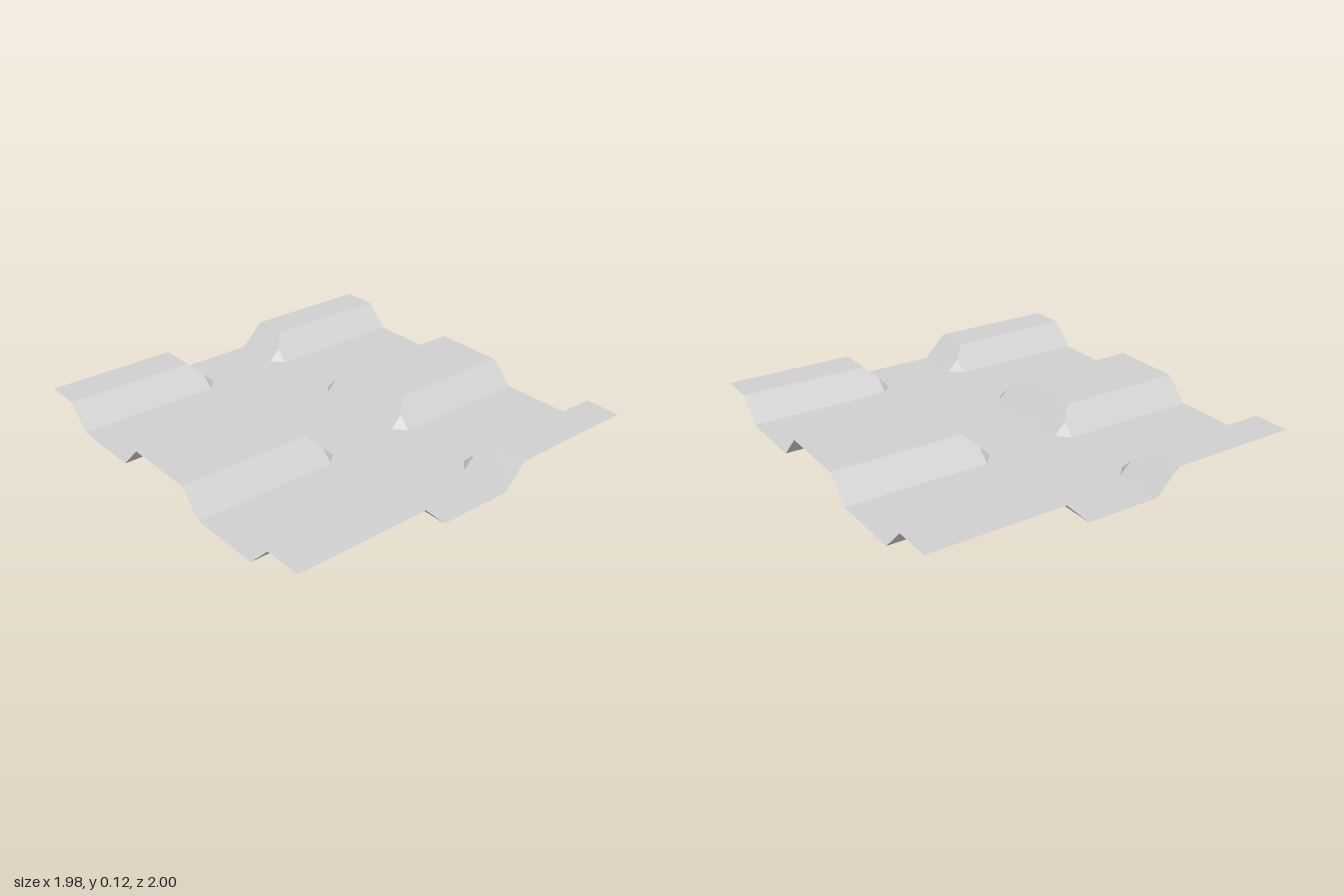
import * as THREE from 'three';

const H = 0.12; // ridge height

// One eighth of the panel as flat polygons [x, y, z], counter-clockwise from above.
const TILE = {
  floor: [[0, 0, 0.5], [0.99, 0, 0.5], [0.99, 0, 0.31], [0.25, 0, 0.31], [0.19, 0, 0.25], [0.19, 0, 0], [0, 0, 0]],
  ridgeTop: [[0.31, H, 0], [0.31, H, 0.19], [0.99, H, 0.19], [0.99, H, 0]],
  ridgeEnd: [[0.19, 0, 0], [0.19, 0, 0.25], [0.25, H / 2, 0.25], [0.31, H, 0.19], [0.31, H, 0]],
  ridgeSide: [[0.25, 0, 0.31], [0.99, 0, 0.31], [0.99, H, 0.19], [0.31, H, 0.19], [0.25, H / 2, 0.25]],
  cornerChamfer: [[0.19, 0, 0.25], [0.25, 0, 0.31], [0.25, H / 2, 0.25]],
};

// Fan of triangles with flat normals.
function polygon(points) {
  const p = [];
  for (let i = 1; i < points.length - 1; i++) p.push(...points[0], ...points[i], ...points[i + 1]);
  const g = new THREE.BufferGeometry();
  g.setAttribute('position', new THREE.Float32BufferAttribute(p, 3));
  g.computeVertexNormals();
  return g;
}

export function createModel() {
  const model = new THREE.Group();
  model.name = 'corrugatedPanel';
  const grey = new THREE.MeshStandardMaterial({ color: 0xd0d0d0, side: THREE.DoubleSide });
  grey.name = 'light grey';

  // Mirror the tile across x, across z, and about the middle of each channel (z = 0.5).
  for (const sx of [1, -1]) for (const sz of [1, -1]) for (const outer of [false, true]) {
    const tile = new THREE.Group();
    tile.name = `${outer ? 'outer' : 'inner'}${sz > 0 ? 'Front' : 'Back'}${sx > 0 ? 'Left' : 'Right'}Ridge`;
    const flipped = sx * sz * (outer ? -1 : 1) < 0;
    for (const [name, points] of Object.entries(TILE)) {
      const placed = points.map(([x, y, z]) => [sx * x, y, sz * (outer ? 1 - z : z)]);
      // Keep the same fan start when the winding is reversed.
      const ordered = flipped ? [placed[0], ...placed.slice(1).reverse()] : placed;
      const mesh = new THREE.Mesh(polygon(ordered), grey);
      mesh.name = name;
      tile.add(mesh);
    }
    model.add(tile);
  }
  return model;
}
